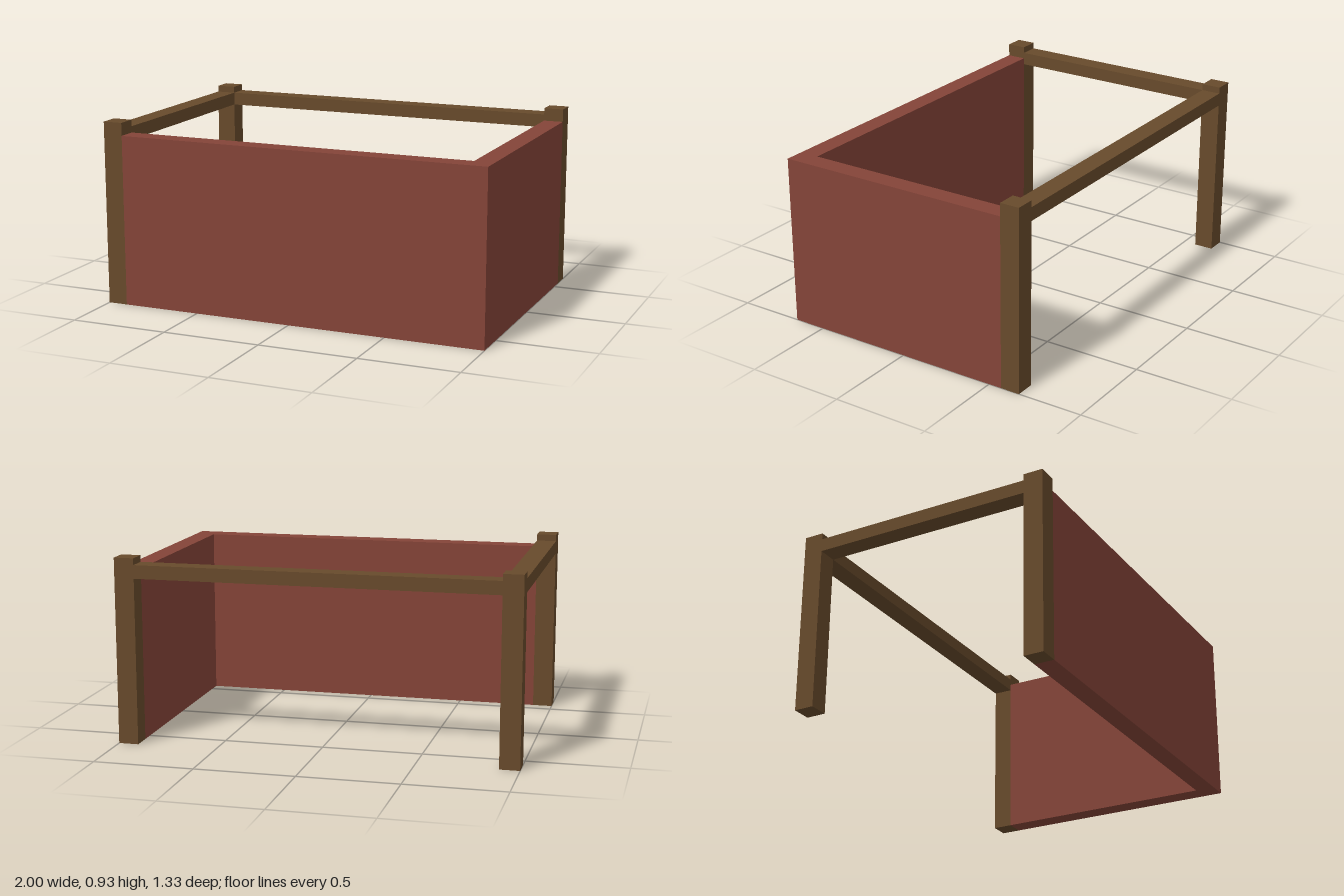
import * as THREE from 'three';

const HX = 1, HZ = 0.667, T = 0.1;            // half extents and post / wall thickness
const POST_H = 0.933, WALL_H = 0.868, BEAM_TOP = 0.9, BEAM_H = 0.067;

export function createModel() {
  const wood = new THREE.MeshStandardMaterial({ color: 0x674a2b });
  wood.name = 'brown wood';
  const brick = new THREE.MeshStandardMaterial({ color: 0x844438 });
  brick.name = 'red brick';

  const model = new THREE.Group();
  model.name = 'halfWalledFrame';

  const addBox = (name, w, h, d, x, y, z) => {
    const mesh = new THREE.Mesh(new THREE.BoxGeometry(w, h, d), wood);
    mesh.name = name;
    mesh.position.set(x, y, z);
    model.add(mesh);
  };

  // Posts at three corners; the walls meet at the fourth
  const px = HX - T / 2, pz = HZ - T / 2;
  for (const [name, sx, sz] of [['frontRightPost', -1, 1], ['backRightPost', -1, -1], ['backLeftPost', 1, -1]]) {
    addBox(name, T, POST_H, T, sx * px, POST_H / 2, sz * pz);
  }

  // Beams joining the posts on the open sides
  const beamY = BEAM_TOP - BEAM_H / 2;
  addBox('backBeam', 2 * (HX - T), BEAM_H, T, 0, beamY, -pz);
  addBox('sideBeam', T, BEAM_H, 2 * (HZ - T), -px, beamY, 0);

  // L-shaped wall along the front and left sides, drawn in plan (shape y = -z)
  const plan = new THREE.Shape([
    [-HX + T, -HZ], [HX, -HZ], [HX, HZ - T],
    [HX - T, HZ - T], [HX - T, -HZ + T], [-HX + T, -HZ + T],
  ].map(([x, y]) => new THREE.Vector2(x, y)));
  const wallGeo = new THREE.ExtrudeGeometry(plan, { depth: WALL_H, bevelEnabled: false });
  wallGeo.rotateX(-Math.PI / 2);
  const wall = new THREE.Mesh(wallGeo, brick);
  wall.name = 'cornerWall';
  model.add(wall);

  return model;
}
